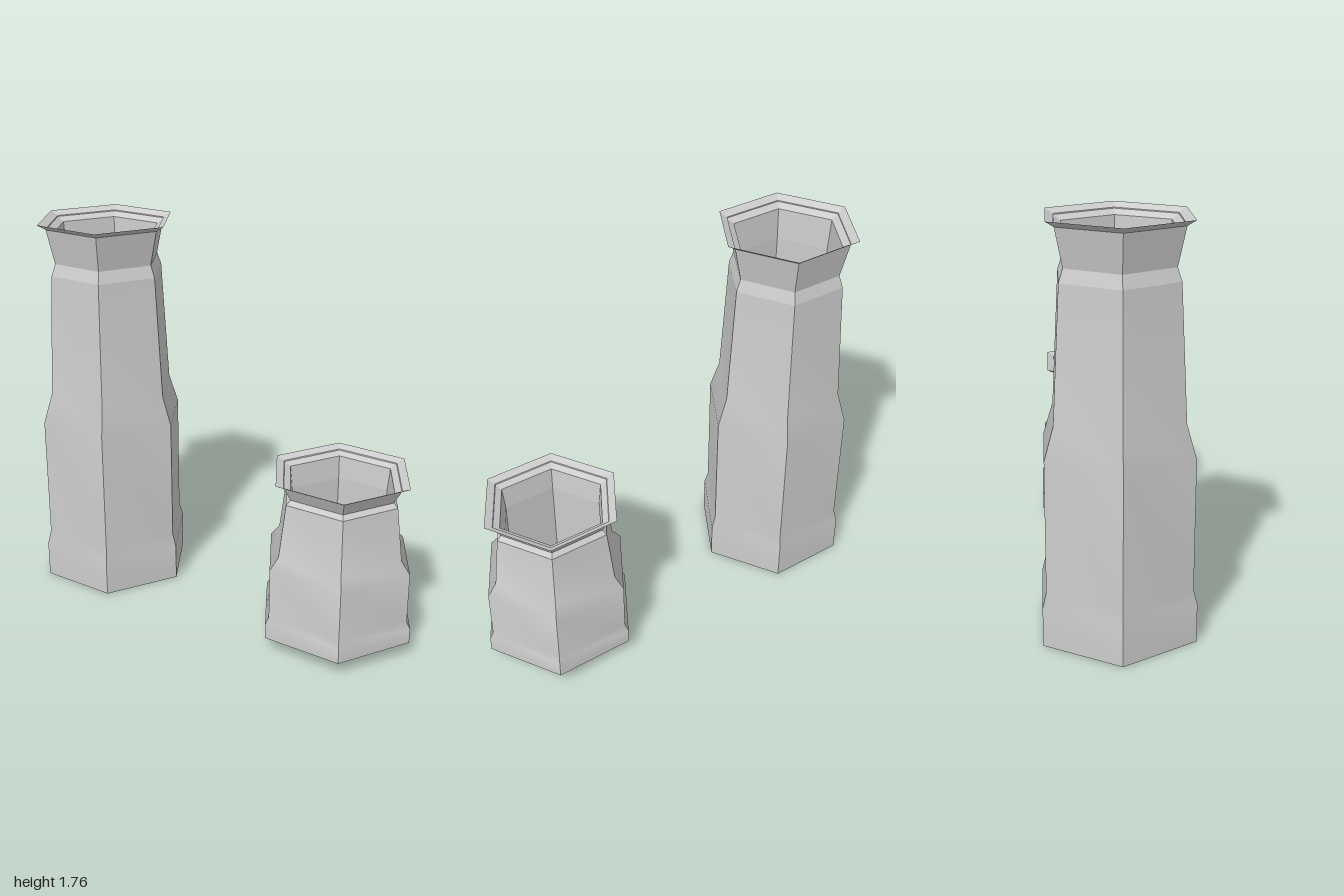
import * as THREE from 'three';
import { mergeGeometries } from 'three/addons/utils/BufferGeometryUtils.js';

const material = new THREE.MeshStandardMaterial({ color: 0xcccccc, side: THREE.DoubleSide });

// Six-sided pot, corners on the x axis. Each strip is a [radius, height] run
// that is shaded softly along its length; strips and sides meet at sharp edges.
function hexPot(name, x, strips) {
  const panels = [];
  for (const strip of strips) {
    const points = strip.map(([r, y]) => new THREE.Vector2(r, y));
    for (let i = 0; i < 6; i++) {
      const panel = new THREE.LatheGeometry(points, 1, Math.PI / 2 + i * Math.PI / 3, Math.PI / 3);
      panel.deleteAttribute('normal');
      panel.computeVertexNormals();
      panels.push(panel);
    }
  }
  const pot = new THREE.Mesh(mergeGeometries(panels), material);
  pot.name = name;
  pot.position.x = x;
  return pot;
}

export function createModel() {
  const group = new THREE.Group();
  group.name = 'hexagonalPots';

  group.add(hexPot('tallPot', -0.632, [
    [[0, 0], [0.368, 0]],                                   // underside
    [[0.368, 0], [0.368, 0.17], [0.35, 0.235],              // base and body
      [0.35, 0.81], [0.305, 0.95], [0.273, 1.52]],
    [[0.273, 1.52], [0.253, 1.575]],                        // shoulder
    [[0.253, 1.575], [0.29, 1.74]],                         // neck
    [[0.29, 1.74], [0.328, 1.76]],                          // rim underside
    [[0.328, 1.76], [0.256, 1.715]],                        // rim top
    [[0.256, 1.715], [0.244, 1.57]],                        // mouth
    [[0.244, 1.57], [0.244, 0.02]],                         // bore
    [[0.244, 0.02], [0, 0.02]],                             // floor
  ]));

  group.add(hexPot('shortPot', 0.632, [
    [[0, 0.065], [0.368, 0.065]],
    [[0.368, 0.065], [0.368, 0.135], [0.35, 0.165],
      [0.35, 0.4], [0.307, 0.455], [0.275, 0.7]],
    [[0.275, 0.7], [0.254, 0.72]],
    [[0.254, 0.72], [0.29, 0.785]],
    [[0.29, 0.785], [0.328, 0.8]],
    [[0.328, 0.8], [0.256, 0.765]],
    [[0.256, 0.765], [0.244, 0.66]],
    [[0.244, 0.66], [0.244, 0.085]],
    [[0.244, 0.085], [0, 0.085]],
  ]));

  return group;
}
